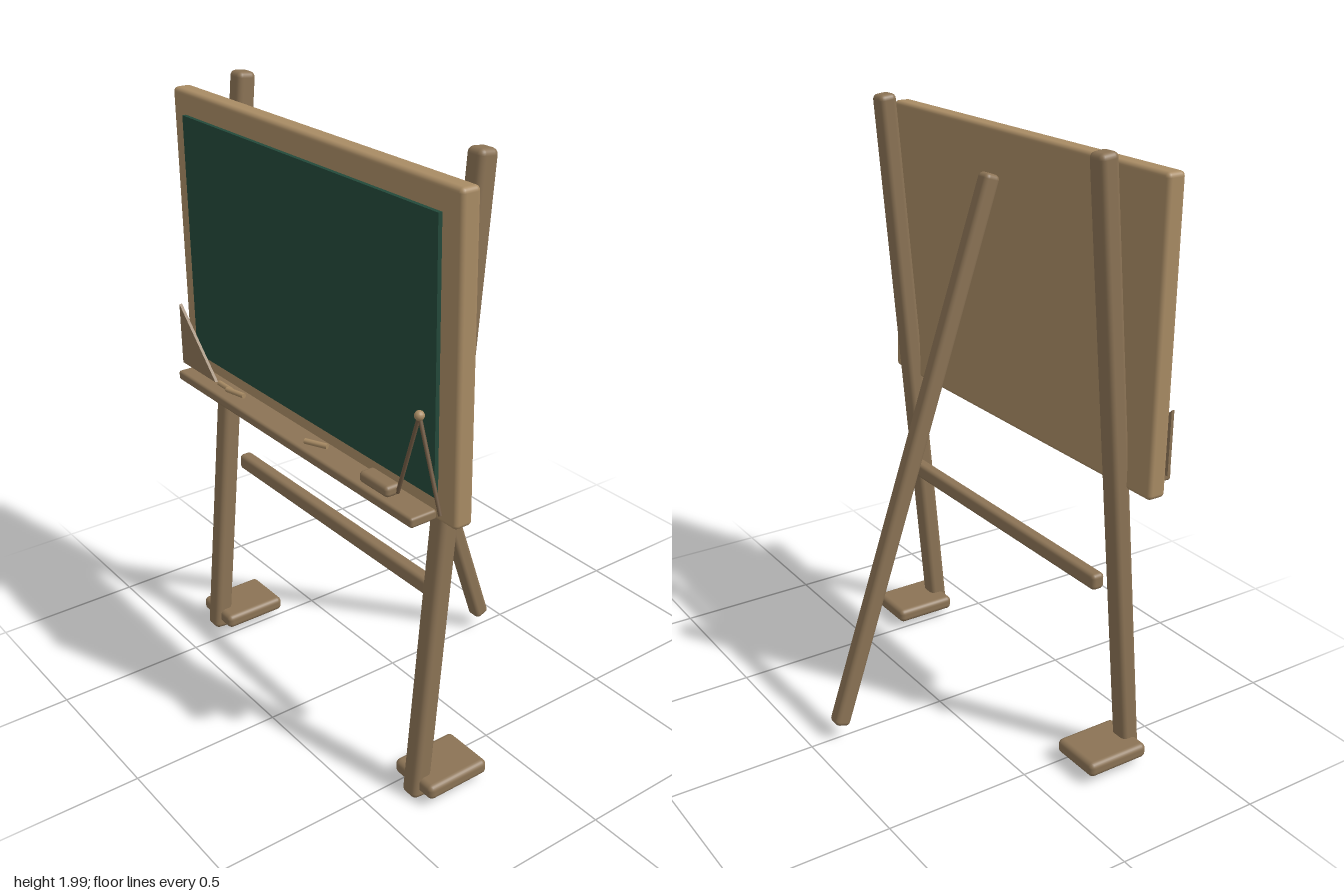
import * as THREE from 'three';
import { RoundedBoxGeometry } from 'three/addons/geometries/RoundedBoxGeometry.js';

const paint = (name, color) => {
  const m = new THREE.MeshStandardMaterial({ color });
  m.name = name;
  return m;
};

export function createModel() {
  const model = new THREE.Group();
  model.name = 'chalkboardEasel';
  const wood = paint('wood', 0x8b7355);
  const paleWood = paint('paleWood', 0xa88b64);
  const green = paint('boardGreen', 0x23493a);
  const darkWood = paint('darkWood', 0x705a43);

  const add = (name, geometry, material, x, y, z) => {
    const mesh = new THREE.Mesh(geometry, material);
    mesh.name = name;
    mesh.position.set(x, y, z);
    model.add(mesh);
    return mesh;
  };
  // Rounded box given by its size and centre
  const block = (name, w, h, d, r, material, x, y, z) =>
    add(name, new RoundedBoxGeometry(w, h, d, 3, r), material, x, y, z);
  // Thin round rod between two points
  const rod = (name, a, b, rA, rB, material) => {
    const dir = b.clone().sub(a);
    const mid = a.clone().add(b).multiplyScalar(0.5);
    const mesh = add(name, new THREE.CylinderGeometry(rB, rA, dir.length(), 10), material, mid.x, mid.y, mid.z);
    mesh.quaternion.setFromUnitVectors(new THREE.Vector3(0, 1, 0), dir.normalize());
  };

  // Leaning front legs with flat feet
  for (const [side, s] of [['left', 1], ['right', -1]]) {
    block(side + 'FrontLeg', 0.066, 1.996, 0.064, 0.018, wood, s * 0.577, 1.002, 0.252).rotation.x = -0.102;
    block(side + 'Foot', 0.182, 0.05, 0.225, 0.018, wood, s * 0.575, 0.06, 0.252);
  }

  // Rear prop and cross bar
  block('rearLeg', 0.056, 1.86, 0.055, 0.016, wood, 0, 0.945, -0.107).rotation.x = 0.315;
  block('crossBar', 1.1, 0.054, 0.046, 0.014, wood, 0, 0.658, 0.229);

  // Board with its writing surface
  block('boardFrame', 1.422, 0.962, 0.064, 0.015, paleWood, 0, 1.465, 0.298);
  add('writingSurface', new THREE.BoxGeometry(1.27, 0.808, 0.016), green, 0, 1.466, 0.335);

  // Chalk ledge
  block('ledge', 1.264, 0.032, 0.092, 0.009, wood, 0, 1.004, 0.375);

  // Chalk sticks lying on the ledge
  for (const [x, z, turn] of [[-0.403, 0.375, 0], [-0.345, 0.374, 0.22], [0.114, 0.375, 0.42]]) {
    const stick = add('chalk', new THREE.CylinderGeometry(0.009, 0.009, 0.078, 10), paleWood, x, 1.029, z);
    stick.rotation.set(0, turn, Math.PI / 2);
  }

  // Eraser
  block('eraser', 0.134, 0.036, 0.054, 0.013, wood, 0.437, 1.038, 0.38);

  // Set square standing at the right end of the ledge
  const triangle = new THREE.Shape([
    new THREE.Vector2(-0.67, 1.026),
    new THREE.Vector2(-0.46, 1.026),
    new THREE.Vector2(-0.67, 1.236),
  ]);
  add('setSquare', new THREE.ExtrudeGeometry(triangle, { depth: 0.01, bevelEnabled: false }), wood, 0, 0, 0.37);

  // Drawing compass at the left end of the ledge
  const hinge = new THREE.Vector3(0.597, 1.304, 0.367);
  rod('compassLeg', new THREE.Vector3(0.503, 1.03, 0.367), hinge, 0.006, 0.006, darkWood);
  rod('compassLeg', new THREE.Vector3(0.691, 1.04, 0.367), hinge, 0.006, 0.006, darkWood);
  add('compassKnob', new THREE.SphereGeometry(0.015, 14, 10), paleWood, hinge.x, hinge.y, hinge.z);

  return model;
}
